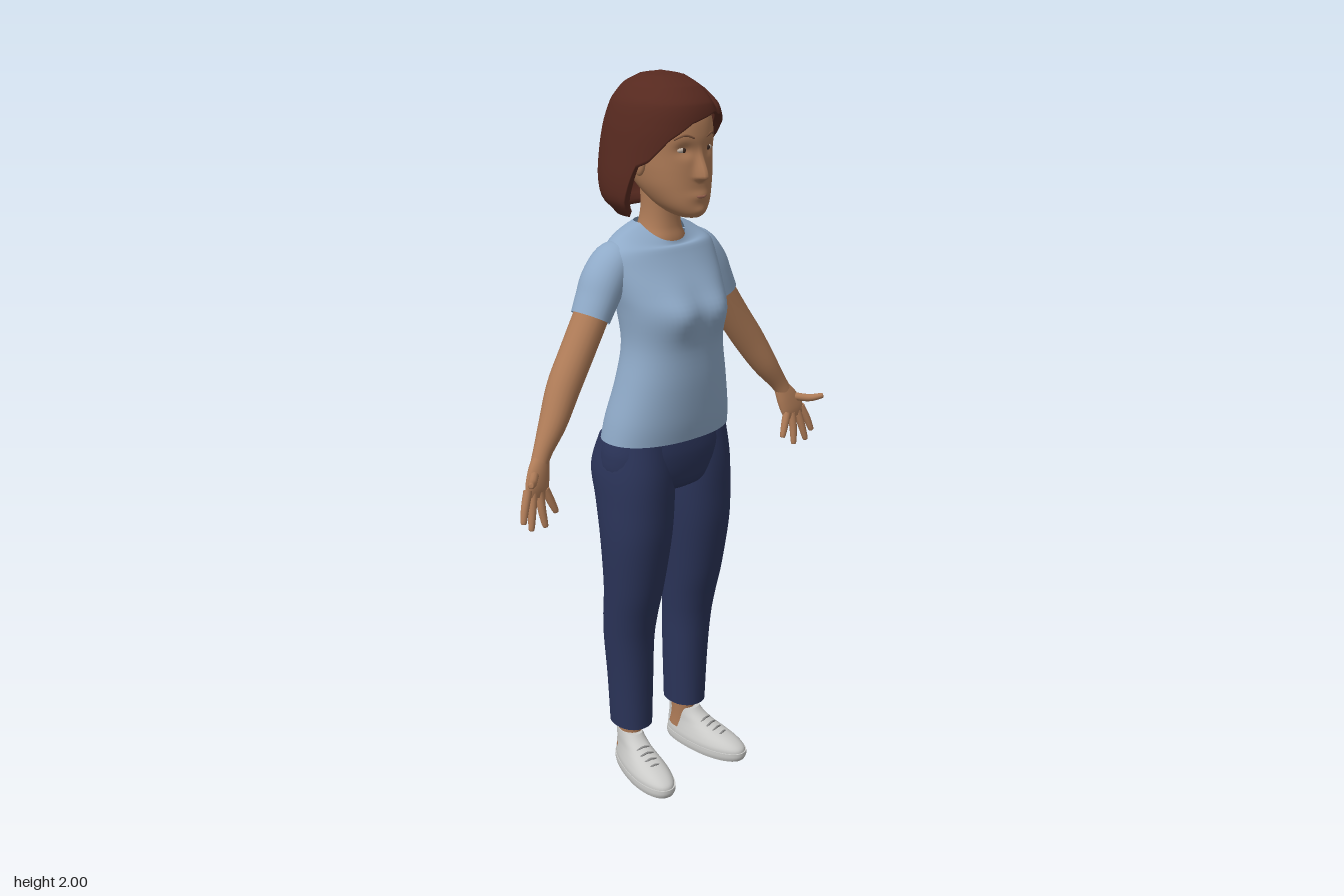
import * as THREE from 'three';

const mat = (name, color, side = THREE.FrontSide) => {
  const m = new THREE.MeshStandardMaterial({ color, side });
  m.name = name;
  return m;
};

// Smooth interpolation through rows of numbers, t in 0..1
function sample(keys, t) {
  const f = t * (keys.length - 1), i = Math.min(Math.floor(f), keys.length - 2), u = f - i;
  const k = n => keys[Math.max(0, Math.min(keys.length - 1, n))];
  return keys[i].map((b, c) => {
    const a = k(i - 1)[c], d = k(i + 1)[c], e = k(i + 2)[c];
    return b + 0.5 * u * (d - a + u * (2 * a - 5 * b + 4 * d - e + u * (3 * (b - d) + e - a)));
  });
}

// Skin over closed rings of points; caps are flat and crisp
function skin(rings, capped = true) {
  const rows = rings.slice(), n = rows[0].length;
  const middle = r => {
    const c = r.reduce((s, p) => s.add(p), new THREE.Vector3()).divideScalar(n);
    return r.map(() => c);
  };
  if (capped) {
    rows.unshift(middle(rings[0]), rings[0]);
    rows.push(rings[rings.length - 1], middle(rings[rings.length - 1]));
  }
  const index = [];
  for (let j = 0; j < rows.length - 1; j++) for (let i = 0; i < n; i++) {
    const a = j * n + i, b = j * n + (i + 1) % n;
    index.push(a, b, a + n, b, b + n, a + n);
  }
  const g = new THREE.BufferGeometry().setFromPoints(rows.flat());
  g.setIndex(index);
  g.computeVertexNormals();
  return g;
}

// Point on a rounded horizontal section: angle 0 is the front, 90 degrees is +x
function around(t, cx, rx, zf, zb, y, n) {
  const p = v => Math.sign(v) * Math.abs(v) ** (2 / n);
  return new THREE.Vector3(cx + rx * p(Math.sin(t)), y, (zf + zb) / 2 + (zf - zb) / 2 * p(Math.cos(t)));
}

// Upright loft from keys [y, cx, rx, zFront, zBack]
function loft(keys, { cols = 48, rows = 48, n = 2.2, s = 1, capped = true, warp } = {}) {
  const rings = [];
  for (let j = 0; j <= rows; j++) {
    const [y, cx, rx, zf, zb] = sample(keys, j / rows);
    rings.push(Array.from({ length: cols }, (_, i) => {
      const t = i / cols * Math.PI * 2, p = around(t, cx * s, rx, zf, zb, y, n);
      if (warp) warp(p, t);
      return p;
    }));
  }
  return skin(rings, capped);
}

// Tapered limb from keys [x, y, z, width, depth]; ref is the width direction
function limb(keys, { s = 1, ref = [1, 0, 0], cols = 20, rows = 20, capped = true } = {}) {
  const at = t => sample(keys, Math.max(0, Math.min(1, t)));
  const pos = t => { const k = at(t); return new THREE.Vector3(k[0] * s, k[1], k[2]); };
  const rings = [];
  for (let j = 0; j <= rows; j++) {
    const t = j / rows, k = at(t), c = pos(t);
    const T = pos(t + 0.01).sub(pos(t - 0.01)).normalize();
    const A = new THREE.Vector3(ref[0] * s, ref[1], ref[2]);
    A.addScaledVector(T, -A.dot(T)).normalize();
    const B = T.clone().cross(A);
    rings.push(Array.from({ length: cols }, (_, i) => {
      const a = i / cols * Math.PI * 2;
      return c.clone().addScaledVector(A, k[3] * Math.cos(a)).addScaledVector(B, k[4] * Math.sin(a));
    }));
  }
  return skin(rings, capped);
}

const bump = (x, w) => Math.exp(-((x / w) ** 2));
const step = THREE.MathUtils.smoothstep;

export function createModel() {
  const model = new THREE.Group();
  const skinM = mat('skin', 0xae7b57), hairM = mat('brown hair', 0x56291f, THREE.DoubleSide);
  const shirtM = mat('blue shirt', 0x8faac8, THREE.DoubleSide), pantsM = mat('navy trousers', 0x2b3459);
  const shoeM = mat('white shoe', 0xcbcbc9), laceM = mat('grey lace', 0x8d8d8d);
  const lipM = mat('lips', 0x9a6450), browM = mat('brow', 0x7d543c);
  const eyeM = mat('eye white', 0xc4b5a8), irisM = mat('iris', 0x3d2a22);
  const add = (name, geo, m, parent = model) => {
    const mesh = new THREE.Mesh(geo, m);
    mesh.name = name;
    parent.add(mesh);
    return mesh;
  };
  const ball = (name, m, p, r) => {
    const b = add(name, new THREE.SphereGeometry(1, 20, 14), m);
    b.position.set(...p);
    b.scale.set(...r);
    return b;
  };

  // Shirt body with scooped neckline and soft bust
  add('shirt', loft([
    [1.04, 0, 0.2, 0.112, -0.13], [1.1, 0, 0.19, 0.122, -0.122], [1.2, 0, 0.166, 0.13, -0.1],
    [1.3, 0, 0.148, 0.132, -0.09], [1.39, 0, 0.155, 0.141, -0.105], [1.45, 0, 0.165, 0.115, -0.118],
    [1.51, 0, 0.172, 0.078, -0.125], [1.55, 0, 0.168, 0.056, -0.125], [1.58, 0, 0.138, 0.045, -0.12],
    [1.6, 0, 0.102, 0.04, -0.11], [1.615, 0, 0.066, 0.036, -0.098],
  ], { cols: 64, capped: false, warp: (p, t) => {
    const front = Math.max(0, Math.cos(t));
    p.z += front * 0.02 * bump(Math.abs(p.x) - 0.07, 0.05) * bump(p.y - 1.395, 0.055);
    p.y -= 0.045 * front * step(p.y, 1.55, 1.615);
  } }), shirtM);

  // Hips joining the two trouser legs
  add('hips', loft([
    [0.875, 0, 0.05, 0.04, -0.07], [0.9, 0, 0.14, 0.085, -0.12], [0.94, 0, 0.195, 0.1, -0.135],
    [1.0, 0, 0.202, 0.106, -0.13], [1.06, 0, 0.188, 0.1, -0.118],
  ]), pantsM);

  for (const s of [1, -1]) {
    const side = s > 0 ? 'left' : 'right';
    add(side + 'Sleeve', limb([
      [0.1, 1.545, -0.048, 0.03, 0.045], [0.14, 1.525, -0.048, 0.052, 0.06], [0.178, 1.478, -0.047, 0.058, 0.064],
      [0.205, 1.43, -0.045, 0.053, 0.062], [0.228, 1.387, -0.043, 0.049, 0.058],
    ], { s, capped: false, cols: 28 }), shirtM);
    add(side + 'Arm', limb([
      [0.185, 1.46, -0.046, 0.044, 0.048], [0.228, 1.387, -0.043, 0.045, 0.049], [0.283, 1.302, -0.035, 0.045, 0.047],
      [0.335, 1.225, -0.025, 0.044, 0.045], [0.385, 1.145, -0.008, 0.036, 0.038], [0.428, 1.085, 0.005, 0.026, 0.025],
      [0.446, 1.056, 0.012, 0.024, 0.021],
    ], { s, rows: 30 }), skinM);

    // Hand with palm facing forward
    const ref = [0.95, 0.3, 0.1];
    add(side + 'Palm', limb([
      [0.438, 1.07, 0.008, 0.022, 0.02], [0.454, 1.035, 0.018, 0.034, 0.02],
      [0.468, 1.0, 0.028, 0.039, 0.016], [0.475, 0.975, 0.034, 0.034, 0.009],
    ], { s, ref }), skinM);
    const fingers = {
      IndexFinger: [[0.5, 1.0, 0.032], [0.518, 0.96, 0.042], [0.53, 0.925, 0.05]],
      MiddleFinger: [[0.484, 0.993, 0.032], [0.496, 0.945, 0.042], [0.506, 0.902, 0.05]],
      RingFinger: [[0.464, 0.988, 0.032], [0.464, 0.94, 0.04], [0.46, 0.898, 0.047]],
      LittleFinger: [[0.446, 0.99, 0.03], [0.433, 0.958, 0.035], [0.42, 0.925, 0.04]],
      Thumb: [[0.47, 1.035, 0.022], [0.505, 1.03, 0.06], [0.53, 1.038, 0.088]],
    };
    for (const [name, [a, b, c]] of Object.entries(fingers)) {
      const end = c.map((v, i) => v + (c[i] - b[i]) * 0.12);
      add(side + name, limb([[...a, 0.012, 0.012], [...b, 0.011, 0.011], [...c, 0.008, 0.008], [...end, 0.003, 0.003]],
        { s, ref: name === 'Thumb' ? [0, 1, 0] : ref, cols: 12, rows: 12 }), skinM);
    }

    add(side + 'TrouserLeg', loft([
      [0.145, 0.105, 0.055, 0.025, -0.105], [0.3, 0.107, 0.062, 0.028, -0.108], [0.42, 0.111, 0.068, 0.034, -0.112],
      [0.5, 0.112, 0.074, 0.047, -0.108], [0.6, 0.112, 0.082, 0.07, -0.098], [0.75, 0.11, 0.095, 0.094, -0.106],
      [0.86, 0.106, 0.1, 0.1, -0.128], [0.95, 0.104, 0.1, 0.1, -0.15], [1.04, 0.1, 0.088, 0.09, -0.122],
    ], { s }), pantsM);
    add(side + 'Ankle', limb([[0.105, 0.05, -0.05, 0.034, 0.042], [0.105, 0.1, -0.045, 0.032, 0.038],
      [0.105, 0.2, -0.042, 0.036, 0.042]], { s }), skinM);

    // Shoe, toes turned slightly outward
    const shoe = new THREE.Group();
    shoe.name = side + 'Shoe';
    shoe.position.x = 0.117 * s;
    shoe.rotation.y = 0.18 * s;
    model.add(shoe);
    const taper = p => { p.x *= 0.85 + 0.22 * step(p.z, -0.1, 0.1); };
    add('sole', loft([[0, 0, 0.05, 0.174, -0.1], [0.012, 0, 0.053, 0.18, -0.104], [0.026, 0, 0.053, 0.18, -0.104]],
      { rows: 6, warp: taper, n: 2.3 }), shoeM, shoe);
    add('upper', loft([
      [0.02, 0, 0.051, 0.177, -0.102], [0.035, 0, 0.051, 0.173, -0.102], [0.05, 0, 0.047, 0.15, -0.1],
      [0.065, 0, 0.042, 0.11, -0.099], [0.08, 0, 0.038, 0.065, -0.097], [0.1, 0, 0.036, 0.025, -0.096],
      [0.118, 0, 0.034, 0.005, -0.095],
    ], { rows: 24, warp: taper }), shoeM, shoe);
    for (let i = 0; i < 4; i++) {
      const z = 0.035 + i * 0.021, y = 0.095 - i * 0.0085, w = 0.021;
      add('lace', limb([[-w, y - 0.009, z, 0.003, 0.003], [0, y, z + 0.004, 0.003, 0.003], [w, y - 0.009, z, 0.003, 0.003]],
        { ref: [0, 1, 0], cols: 8, rows: 8 }), laceM, shoe);
    }

    // Ears, eyes and brows
    ball(side + 'Ear', skinM, [0.105 * s, 1.78, 0.012], [0.012, 0.033, 0.02]);
    ball(side + 'Eye', eyeM, [0.042 * s, 1.816, 0.103], [0.016, 0.0075, 0.009]);
    ball(side + 'Iris', irisM, [0.041 * s, 1.816, 0.1095], [0.006, 0.0065, 0.004]);
    add(side + 'Brow', limb([[0.02, 1.846, 0.125, 0.003, 0.003], [0.045, 1.854, 0.118, 0.003, 0.003],
      [0.068, 1.843, 0.102, 0.002, 0.002]], { s, ref: [0, 1, 0], cols: 8 }), browM);
  }

  // Neck widening into the neckline
  add('neck', loft([
    [1.52, 0, 0.085, 0.035, -0.1], [1.57, 0, 0.07, 0.034, -0.095], [1.605, 0, 0.056, 0.026, -0.088],
    [1.65, 0, 0.05, 0.024, -0.078], [1.72, 0, 0.052, 0.03, -0.08],
  ]), skinM);

  // Head with nose, eye sockets, mouth and chin shaped into it
  add('head', loft([
    [1.643, 0, 0.025, 0.115, 0.05], [1.655, 0, 0.046, 0.126, 0.015], [1.68, 0, 0.068, 0.13, -0.03],
    [1.72, 0, 0.088, 0.128, -0.08], [1.76, 0, 0.098, 0.127, -0.11], [1.8, 0, 0.103, 0.126, -0.13],
    [1.85, 0, 0.105, 0.128, -0.14], [1.9, 0, 0.1, 0.118, -0.14], [1.94, 0, 0.084, 0.088, -0.12],
    [1.97, 0, 0.04, 0.04, -0.06],
  ], { cols: 120, rows: 90, warp: (p, t) => {
    if (Math.cos(t) <= 0) return;
    const { x, y } = p, ridge = step(-y, -1.83, -1.748) * step(y, 1.732, 1.748);
    p.z += 0.028 * ridge * bump(x, 0.008 + 0.007 * ridge) - 0.011 * bump(Math.abs(x) - 0.042, 0.022) * bump(y - 1.816, 0.017)
      + 0.005 * bump(x, 0.03) * bump(y - 1.699, 0.012) + 0.004 * bump(x, 0.02) * bump(y - 1.66, 0.012);
  } }), skinM);
  add('mouth', limb([[-0.027, 1.703, 0.12, 0.002, 0.002], [-0.012, 1.699, 0.13, 0.004, 0.004],
    [0, 1.698, 0.132, 0.004, 0.004], [0.012, 1.699, 0.13, 0.004, 0.004], [0.027, 1.703, 0.12, 0.002, 0.002]],
  { ref: [0, 1, 0], cols: 10 }), lipM);

  // Bob haircut: a thick shell whose lower edge follows the hairline
  const profile = [ // y, half width, front, back
    [2.0, 0.002, -0.018, -0.022], [1.992, 0.05, 0.045, -0.075], [1.97, 0.092, 0.1, -0.118], [1.93, 0.124, 0.14, -0.15],
    [1.87, 0.141, 0.15, -0.172], [1.8, 0.152, 0.146, -0.181], [1.73, 0.16, 0.138, -0.178], [1.68, 0.156, 0.13, -0.16],
    [1.645, 0.13, 0.11, -0.12],
  ];
  const hairline = [ // angle from the front, lowest y
    [-180, 1.645], [-84, 1.645], [-76, 1.7], [-68, 1.775], [-56, 1.79], [-38, 1.845], [-15, 1.885], [20, 1.912],
    [42, 1.893], [62, 1.86], [80, 1.815], [90, 1.76], [97, 1.645], [180, 1.645],
  ];
  const lowest = deg => {
    const i = Math.max(1, hairline.findIndex(h => h[0] >= deg)), [a, b] = [hairline[i - 1], hairline[i]];
    return THREE.MathUtils.mapLinear(deg, a[0], b[0], a[1], b[1]);
  };
  const atHeight = y => { // profile row at a given height
    let i = 1;
    while (i < profile.length - 1 && profile[i][0] > y) i++;
    const u = (profile[i - 1][0] - y) / (profile[i - 1][0] - profile[i][0]);
    return sample(profile, (i - 1 + u) / (profile.length - 1));
  };
  const cols = 144, rows = 40, rings = [];
  for (let j = -rows; j <= rows; j++) {
    const inner = j < 0, v = 1 - Math.abs(j) / rows;
    rings.push(Array.from({ length: cols }, (_, i) => {
      const deg = i / cols * 360 - 180, y = 2 - (2 - lowest(deg)) * v ** 1.6;
      const [, rx, zf, zb] = atHeight(y), k = inner ? 0.86 : 1;
      const p = around(deg * Math.PI / 180, -0.004, rx * k, zf * k, zb * k, inner ? y - 0.012 * (1 - v) : y, 2.15);
      // Parting groove, with the smaller side lying a little lower
      const top = step(y, 1.86, 1.95) * step(p.z, -0.14, 0);
      p.y -= top * (0.016 * bump(p.x - 0.05, 0.012) + 0.01 * step(p.x, 0.045, 0.07));
      return p;
    }));
  }
  add('hair', skin(rings, false), hairM);

  return model;
}
